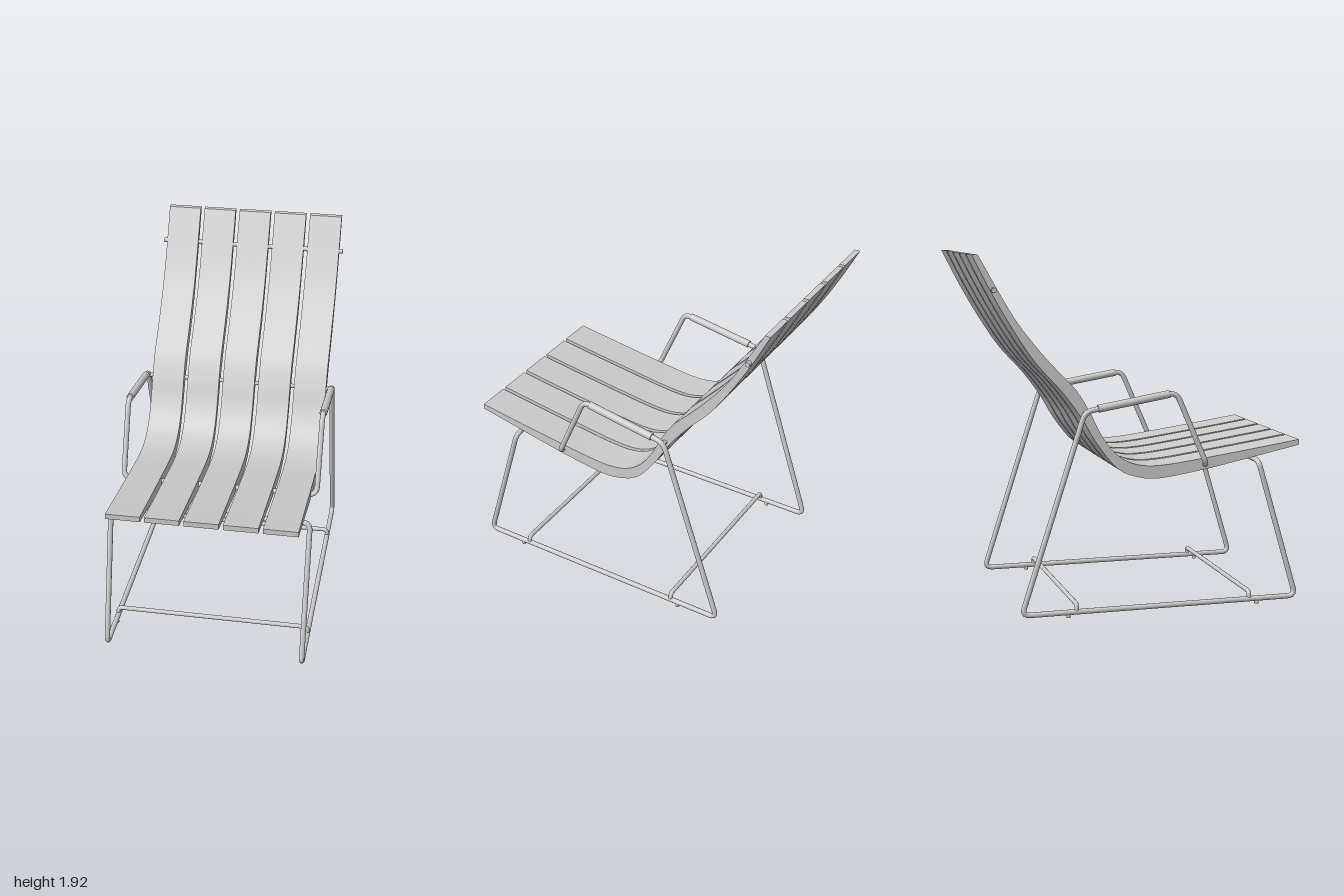
import * as THREE from 'three';
import { toCreasedNormals } from 'three/addons/utils/BufferGeometryUtils.js';

const V = (x, y, z) => new THREE.Vector3(x, y, z);
const HALF = 0.54; // half distance between the side frames
const TUBE = 0.0145;

// Polyline with rounded corners, open or closed
function roundedPath(points, radius, closed) {
  const path = new THREE.CurvePath();
  path.arcLengthDivisions = 2000;
  const n = points.length;
  const first = closed ? points[n - 1].clone().lerp(points[0], 0.5) : points[0];
  let last = first;
  for (let i = closed ? 0 : 1; i < (closed ? n : n - 1); i++) {
    const p = points[i];
    const toward = (q) => p.clone().add(q.clone().sub(p).setLength(radius));
    const a = toward(points[(i + n - 1) % n]);
    const b = toward(points[(i + 1) % n]);
    path.add(new THREE.LineCurve3(last, a));
    path.add(new THREE.QuadraticBezierCurve3(a, p, b));
    last = b;
  }
  path.add(new THREE.LineCurve3(last, closed ? first : points[n - 1]));
  return path;
}

export function createModel() {
  const model = new THREE.Group();
  const chair = new THREE.Group();
  chair.name = 'loungeChair';
  chair.rotation.y = 0.239; // the chair stands turned slightly to its left
  chair.position.set(-0.0155, 0, 0.004);
  model.add(chair);

  const material = new THREE.MeshStandardMaterial({ color: 0xcccccc });
  const add = (name, geometry) => {
    const mesh = new THREE.Mesh(geometry, material);
    mesh.name = name;
    chair.add(mesh);
    return mesh;
  };
  const rod = (name, a, b, radius) => {
    const dir = b.clone().sub(a);
    const mesh = add(name, new THREE.CylinderGeometry(radius, radius, dir.length(), 16));
    mesh.position.copy(a).lerp(b, 0.5);
    mesh.quaternion.setFromUnitVectors(V(0, 1, 0), dir.normalize());
  };

  // Moulded slats: one side profile (z, y), thicker through the bend
  const spline = (pts) => new THREE.SplineCurve(pts.map(([z, y]) => new THREE.Vector2(z, y))).getPoints(56);
  const upper = spline([
    [0.892, 0.898], [0.65, 0.862], [0.35, 0.82], [0.15, 0.795], [0.02, 0.792], [-0.08, 0.818],
    [-0.16, 0.875], [-0.23, 0.97], [-0.29, 1.09], [-0.36, 1.205], [-0.449, 1.3], [-0.57, 1.435],
    [-0.7, 1.61], [-0.875, 1.918],
  ]);
  const lower = spline([
    [-0.906, 1.918], [-0.816, 1.74], [-0.714, 1.56], [-0.585, 1.365], [-0.446, 1.21], [-0.338, 1.065],
    [-0.255, 0.925], [-0.144, 0.787], [-0.034, 0.735], [0.095, 0.721], [0.35, 0.758], [0.65, 0.818],
    [0.892, 0.868],
  ]);
  const slatWidth = 0.185;
  const slat = toCreasedNormals(
    new THREE.ExtrudeGeometry(new THREE.Shape([...upper, ...lower]), { depth: slatWidth, bevelEnabled: false })
      .translate(0, 0, -slatWidth / 2).rotateY(-Math.PI / 2), 0.6);
  for (let i = -2; i <= 2; i++) add('slat', slat).position.x = i * 0.208;

  // One bent tube: front bar, legs, runners, arms and the bar through the seat
  const side = [[0.645, 0.797], [0.873, 0.028], [-0.672, 0.028], [-0.325, 1.1], [0.175, 1.185], [0.35, 0.785]];
  const left = side.map(([z, y]) => V(HALF, y, z));
  const right = side.map(([z, y]) => V(-HALF, y, z)).reverse();
  add('tubeFrame', new THREE.TubeGeometry(roundedPath([...left, ...right], 0.045, true), 800, TUBE, 12, true));

  // Rods through the back
  rod('lowerBackRod', V(-HALF, 1.085, -0.318), V(HALF, 1.085, -0.318), 0.012);
  rod('upperBackRod', V(-0.53, 1.738, -0.797), V(0.53, 1.738, -0.797), 0.0135);

  // Floor stretchers with ends turned down onto the runners
  for (const z of [0.6, -0.375]) {
    const pts = [V(-HALF, 0.028, z), V(-HALF, 0.07, z), V(HALF, 0.07, z), V(HALF, 0.028, z)];
    add('floorStretcher', new THREE.TubeGeometry(roundedPath(pts, 0.025, false), 160, 0.0125, 12, false));
  }

  // Arm pads and glides on both sides
  for (const s of [-1, 1]) {
    rod('armPad', V(s * HALF, 1.113, -0.255), V(s * HALF, 1.178, 0.135), 0.021);
    for (const z of [0.645, -0.42]) rod('glide', V(s * HALF, 0, z), V(s * HALF, 0.025, z), 0.012);
  }
  return model;
}
